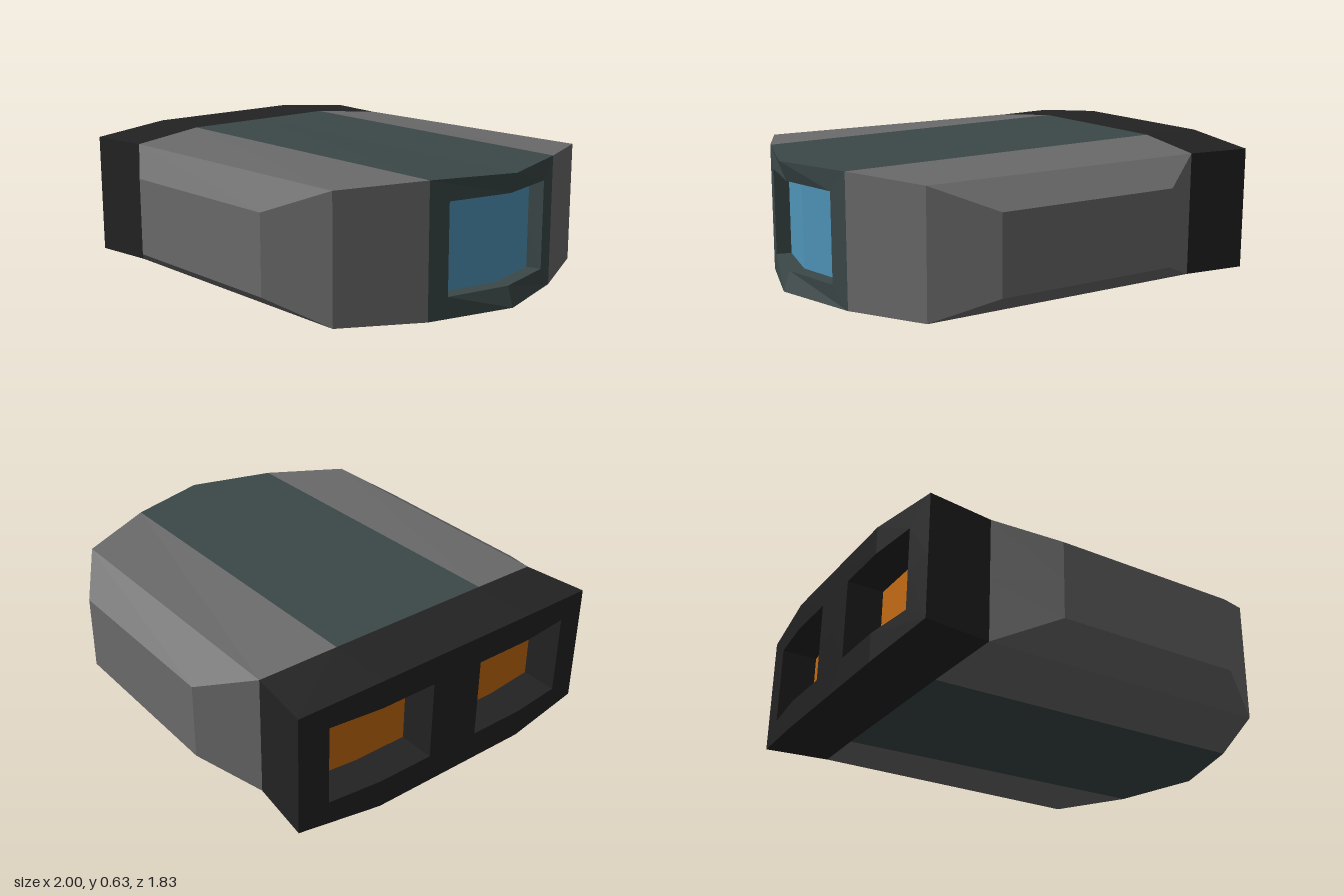
import * as THREE from 'three';

const MID = 0.315; // height of the horizontal symmetry plane

const paint = (name, color) => {
  const m = new THREE.MeshStandardMaterial({ color });
  m.name = name;
  return m;
};

// Points are [x, height above the middle plane, z]
const mid = (p) => [p[0], 0, p[2]];             // same point on the middle plane
const inset = (p, d) => [p[0] + d, p[1], p[2]]; // same point moved along x
const wall = (a, b) => [a, mid(a), mid(b), b];  // upright face down to the middle plane

// Builds flat polygons for one quarter and mirrors them up/down and left/right
function quarterMesh(name, material, polygons) {
  const positions = [];
  for (const sy of [1, -1]) for (const sz of [1, -1]) {
    for (const poly of polygons) {
      const pts = poly.map(([x, y, z]) => [x, MID + y * sy, z * sz]);
      if (sy * sz < 0) pts.reverse();
      for (let i = 1; i < pts.length - 1; i++) positions.push(...pts[0], ...pts[i], ...pts[i + 1]);
    }
  }
  const geometry = new THREE.BufferGeometry();
  geometry.setAttribute('position', new THREE.Float32BufferAttribute(positions, 3));
  geometry.computeVertexNormals();
  const mesh = new THREE.Mesh(geometry, material);
  mesh.name = name;
  return mesh;
}

export function createModel() {
  const grey = paint('hull grey', 0x6a6a6a);
  const teal = paint('dark teal', 0x3b4747);
  const black = paint('engine black', 0x222222);
  const blue = paint('window blue', 0x4f94b8);
  const orange = paint('engine orange', 0xc46a10);
  const model = new THREE.Group();
  model.name = 'hull';

  // Hull corners
  const spineBack = [-0.70, 0.315, 0], nose = [1, 0.29, 0];
  const stripBack = [-0.70, 0.315, 0.40], stripFront = [0.88, 0.295, 0.39];
  const shoulderBack = [-0.66, 0.28, 0.755], shoulderFront = [0.71, 0.28, 0.755];
  const sideBack = [-0.41, 0.175, 0.915], sideFront = [0.46, 0.175, 0.915];

  // Grey armoured sides
  model.add(quarterMesh('sidePlating', grey, [
    [stripBack, shoulderBack, shoulderFront, stripFront],
    [shoulderBack, sideBack, sideFront, shoulderFront],
    wall(shoulderBack, sideBack),
    wall(sideBack, sideFront),
    wall(sideFront, shoulderFront),
    wall(shoulderFront, stripFront),
  ]));

  // Central strip, window frame and its recess
  const frameSide = [0.905, 0.2, 0.30], frameMid = [0.97, 0.2, 0];
  const paneSide = [0.84, 0.2, 0.28], paneMid = [0.90, 0.2, 0];
  model.add(quarterMesh('centreStrip', teal, [[spineBack, stripBack, stripFront, nose]]));
  model.add(quarterMesh('windowFrame', teal, [
    wall(stripFront, frameSide),
    [stripFront, frameSide, frameMid, nose],
    wall(frameSide, paneSide),
    [frameSide, paneSide, paneMid, frameMid],
  ]));
  model.add(quarterMesh('window', blue, [wall(paneSide, paneMid)]));

  // Rear engine block with two deep openings
  const rearMid = [-1, 0.315, 0], rearKnee = [-1, 0.315, 0.40], rearEnd = [-0.96, 0.28, 0.79];
  const opening = [[-1, 0.185, 0.13], [-1, 0.185, 0.40], [-0.974, 0.185, 0.65]];
  const [a, b, c] = opening;
  const [ai, bi, ci] = opening.map((p) => inset(p, 0.17));
  model.add(quarterMesh('engineBlock', black, [
    [rearMid, rearKnee, stripBack, spineBack],
    [rearKnee, rearEnd, shoulderBack, stripBack],
    wall(rearEnd, shoulderBack),
    wall(rearMid, a),
    [rearMid, a, b, rearKnee],
    [rearKnee, b, c, rearEnd],
    wall(c, rearEnd),
  ]));
  model.add(quarterMesh('engineRecesses', black, [
    wall(a, ai),
    wall(ci, c),
    [a, ai, bi, b],
    [b, bi, ci, c],
  ]));
  model.add(quarterMesh('engineGlow', orange, [wall(ai, bi), wall(bi, ci)]));

  return model;
}
